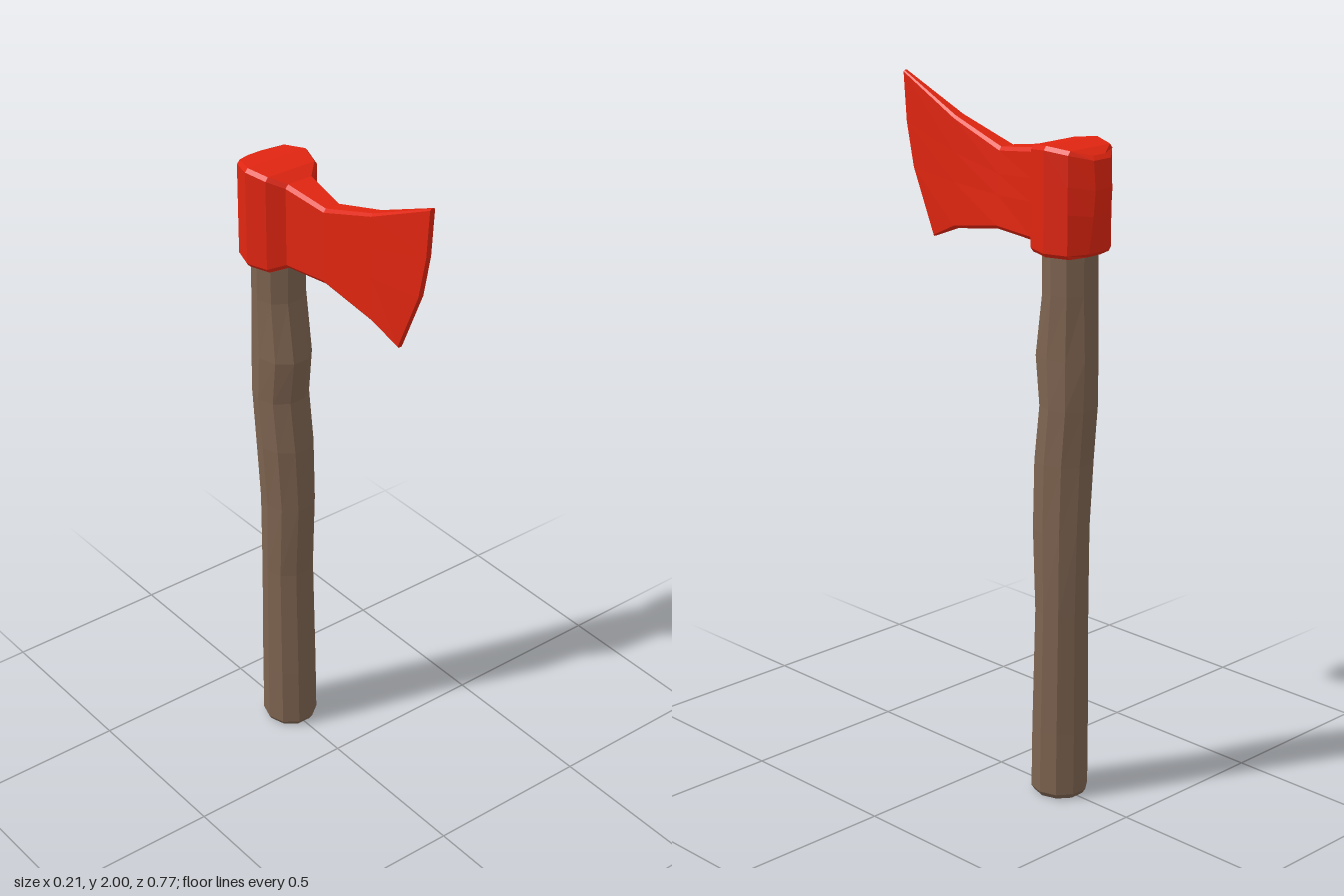
import * as THREE from 'three';

// Skin a list of equal-length rings with flat faces, closing both ends with strips
function loft(rings) {
  const out = [];
  const tri = (a, b, c) => out.push(...a, ...b, ...c);
  const n = rings[0].length;
  for (let k = 0; k < rings.length - 1; k++) {
    for (let i = 0; i < n; i++) {
      const j = (i + 1) % n;
      const a = rings[k][i], b = rings[k][j], c = rings[k + 1][j], d = rings[k + 1][i];
      tri(a, d, b);
      tri(b, d, c);
    }
  }
  const cap = (r, flip) => {
    for (let i = 0; i < n / 2 - 1; i++) {
      const a = r[i], b = r[i + 1], c = r[n - 2 - i], d = r[n - 1 - i];
      if (flip) { tri(a, c, b); tri(a, d, c); } else { tri(a, b, c); tri(a, c, d); }
    }
  };
  cap(rings[0], false);
  cap(rings[rings.length - 1], true);
  const g = new THREE.BufferGeometry();
  g.setAttribute('position', new THREE.Float32BufferAttribute(out, 3));
  g.computeVertexNormals();
  return g;
}

// Ten-sided wooden shaft: [y, centre x, centre z, radius x, radius z]
function handleGeometry() {
  const sections = [
    [0, 0, -0.238, 0.07, 0.073],
    [0.015, 0, -0.238, 0.08, 0.083],
    [0.2, 0, -0.239, 0.079, 0.082],
    [0.56, 0.004, -0.246, 0.075, 0.076],
    [0.8, 0.005, -0.242, 0.075, 0.086],
    [1.0, 0, -0.246, 0.08, 0.087],
    [1.16, -0.003, -0.259, 0.08, 0.083],
    [1.3, -0.004, -0.25, 0.08, 0.095],
    [1.48, -0.002, -0.262, 0.076, 0.077],
    [1.7, -0.002, -0.26, 0.076, 0.078],
  ];
  return loft(sections.map(([y, cx, cz, rx, rz]) =>
    Array.from({ length: 10 }, (_, i) => {
      const a = (i / 10) * Math.PI * 2;
      return [cx + rx * Math.cos(a), y, cz + rz * Math.sin(a)];
    })));
}

// Head sections from poll to cutting edge; z runs top to bottom at four levels
function headGeometry() {
  const levels = [1, 0.69, 0.41, 0];
  const stations = [
    { z: [-0.376, -0.383, -0.377, -0.362], w: 0.032, top: 1.866, bot: 1.592, bevel: 0.011, inset: 0.012 },
    { z: -0.332, w: 0.084, top: 1.88, bot: 1.59, bevel: 0.011 },
    { z: -0.265, w: 0.106, top: 1.888, bot: 1.59, bevel: 0.011 },
    { z: -0.2, w: 0.087, top: 1.88, bot: 1.592, bevel: 0.011 },
    { z: -0.163, w: 0.048, top: 1.862, bot: 1.61, bevel: 0.011, skew: 0.004 },
    { z: -0.022, w: 0.03, top: 1.842, bot: 1.617, bevel: 0.01, skew: 0.012 },
    { z: 0.165, w: 0.021, top: 1.902, bot: 1.585, bevel: 0.008, skew: 0.003 },
    { z: [0.383, 0.372, 0.345, 0.265], w: 0.008, top: 2, bot: 1.544, bevel: 0.004 },
  ];
  return loft(stations.map(({ z, w, top, bot, bevel, inset = 0, skew = 0 }) => {
    const zs = Array.isArray(z) ? z : [z, z, z, z];
    // One side from the top rim down to the bottom rim
    const side = (s) => {
      const pts = levels.map((f, i) => [
        s * w + (s > 0 ? skew * (1 - f) : 0),
        bot + bevel + (top - bot - 2 * bevel) * f,
        zs[i],
      ]);
      const rim = (p, y) => [p[0] - s * bevel * 0.8, y, p[2] + inset];
      return [rim(pts[0], top), ...pts, rim(pts[3], bot)];
    };
    return [...side(1), ...side(-1).reverse()];
  }));
}

export function createModel() {
  const wood = new THREE.MeshStandardMaterial({ color: 0x7d6350 });
  wood.name = 'brown wood';
  const red = new THREE.MeshStandardMaterial({ color: 0xe02510 });
  red.name = 'red paint';

  const group = new THREE.Group();
  group.name = 'axe';
  const add = (name, geometry, material) => {
    const mesh = new THREE.Mesh(geometry, material);
    mesh.name = name;
    group.add(mesh);
  };
  add('handle', handleGeometry(), wood);
  add('axeHead', headGeometry(), red);
  return group;
}
